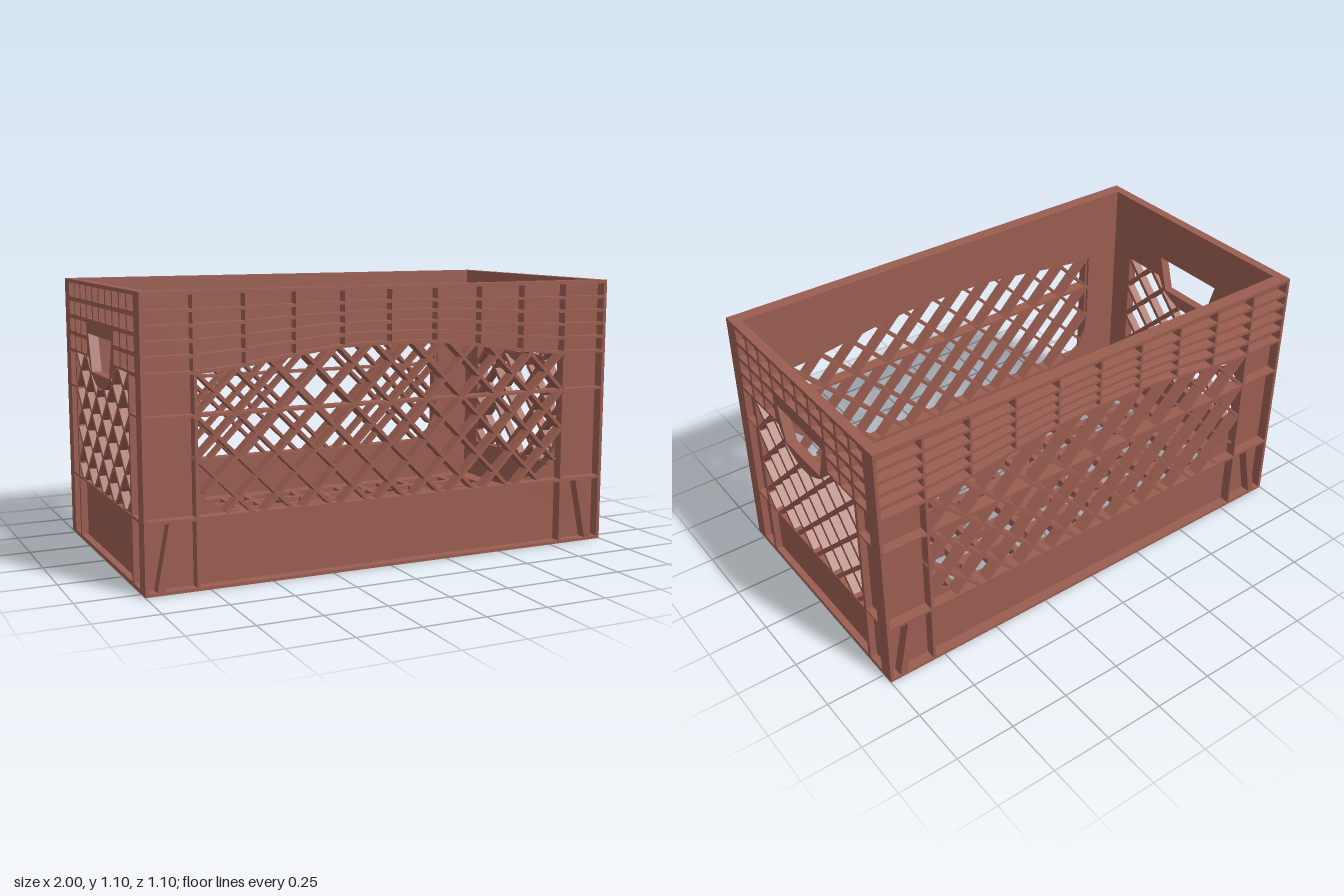
import * as THREE from 'three';

const plastic = new THREE.MeshStandardMaterial({ color: 0x9a5d50, side: THREE.DoubleSide });
plastic.name = 'terracotta plastic';

const shapeOf = pts => new THREE.Shape(pts.map(p => new THREE.Vector2(p[0], p[1])));
const pathOf = pts => new THREE.Path(pts.map(p => new THREE.Vector2(p[0], p[1])));
const rect = (u0, v0, u1, v1) => [[u0, v0], [u1, v0], [u1, v1], [u0, v1]];

// Extruded plate in a wall's own u, v plane, z running outward
function plate(parent, name, pts, z0, z1, holes = []) {
  const shape = shapeOf(pts);
  holes.forEach(h => shape.holes.push(pathOf(h)));
  const geo = new THREE.ExtrudeGeometry(shape, { depth: z1 - z0, bevelEnabled: false });
  geo.translate(0, 0, z0);
  const mesh = new THREE.Mesh(geo, plastic);
  mesh.name = name;
  parent.add(mesh);
  return mesh;
}

// Straight bar between two points
function bar(parent, name, a, b, width, z0, z1) {
  const len = Math.hypot(b[0] - a[0], b[1] - a[1]);
  const mesh = new THREE.Mesh(new THREE.BoxGeometry(len, width, z1 - z0), plastic);
  mesh.position.set((a[0] + b[0]) / 2, (a[1] + b[1]) / 2, (z0 + z1) / 2);
  mesh.rotation.z = Math.atan2(b[1] - a[1], b[0] - a[0]);
  mesh.name = name;
  parent.add(mesh);
}

function inside(pts, u, v) {
  let hit = false;
  for (let i = 0, j = pts.length - 1; i < pts.length; j = i++) {
    const [a, b] = pts[i], [c, d] = pts[j];
    if ((b > v) !== (d > v) && u < (c - a) * (v - b) / (d - b) + a) hit = !hit;
  }
  return hit;
}

// Diagonal struts, trimmed to the opening's outline
function lattice(parent, outline, pitch, cv, width, depth) {
  const step = 0.005;
  for (const dir of [1, -1]) {
    for (let k = -9; k <= 9; k++) {
      let start = null;
      for (let t = -0.5; t <= 0.5; t += step) {
        const p = [k * pitch + dir * t, cv + t];
        const isIn = inside(outline, p[0], p[1]);
        if (isIn && !start) start = p;
        if (!isIn && start) {
          bar(parent, 'latticeStrut', [start[0] - dir * step, start[1] - step], p, width, 0.001, depth - 0.002);
          start = null;
        }
      }
    }
  }
}

const SKIN = 0.012, RIB = 0.012, PITCH = 0.159;

// Ribs of the long walls arch upward toward the middle
const sideY = [1.09, 1.03, 0.975, 0.92, 0.865, 0.805];
const midY = [1.09, 1.04, 1.0, 0.96, 0.92, 0.88];
function rowY(i, u) {
  const s = THREE.MathUtils.smoothstep(0.85 - Math.abs(u), 0, 0.75);
  return THREE.MathUtils.lerp(sideY[i], midY[i], s);
}

function longWall() {
  const g = new THREE.Group(), D = 0.055;
  g.name = 'longWall';
  const top = [];
  for (let i = -8; i <= 8; i++) top.push([i / 10, rowY(5, i / 10) - 0.005]);
  const opening = [[0.8, 0.5], [0.785, 0.4], [0.75, 0.33], [0.69, 0.29], [0.61, 0.275],
    [-0.61, 0.275], [-0.69, 0.29], [-0.75, 0.33], [-0.785, 0.4], [-0.8, 0.5], ...top];
  plate(g, 'longPanel', rect(-1, 0, 1, 1.1), 0, SKIN, [opening]);
  lattice(g, opening, PITCH, 0.65, 0.013, D);

  // Arched horizontal ribs
  for (let i = 1; i <= 5; i++) {
    const lower = [], upper = [];
    for (let k = -10; k <= 10; k++) {
      lower.push([k / 10, rowY(i, k / 10) - RIB / 2]);
      upper.unshift([k / 10, rowY(i, k / 10) + RIB / 2]);
    }
    plate(g, 'archedRib', [...lower, ...upper], SKIN, D);
  }
  // Upright ribs above the opening
  for (let k = -4; k <= 4; k++) {
    const u = k * 0.2;
    bar(g, 'uprightRib', [u, rowY(5, u)], [u, 1.095], 0.01, SKIN, D - 0.001);
  }
  // Rims and ledges
  plate(g, 'topRim', rect(-1, 1.086, 1, 1.1), 0, D);
  plate(g, 'bottomRim', rect(-1, 0, 1, 0.012), 0, D);
  bar(g, 'lowerLedge', [-1, 0.27], [1, 0.27], RIB, SKIN, D);
  bar(g, 'middleLedge', [-1, 0.65], [1, 0.65], 0.01, 0, D);
  // Corner bays with slanted braces
  for (const s of [-1, 1]) {
    bar(g, 'bayRib', [s * 0.797, 0], [s * 0.797, 0.81], RIB, SKIN, D);
    plate(g, 'slantedBrace', [[s * 0.955, 0.01], [s * 0.925, 0.01], [s * 0.87, 0.27], [s * 0.905, 0.27]], SKIN, D - 0.001);
  }
  return g;
}

function endWall() {
  const g = new THREE.Group(), D = 0.04;
  g.name = 'endWall';
  const handle = [[0.13, 0.745], [0.175, 0.895], [-0.175, 0.895], [-0.13, 0.745]];
  const opening = [[-0.385, 0.272], [0.385, 0.272], [0.385, 0.8], [0.18, 0.8], [0.145, 0.74],
    [0.1, 0.715], [0.04, 0.69], [-0.04, 0.69], [-0.1, 0.715], [-0.145, 0.74], [-0.18, 0.8], [-0.385, 0.8]];
  plate(g, 'endPanel', rect(-0.5, 0, 0.5, 1.1), 0, SKIN, [handle, opening]);
  lattice(g, opening, PITCH, 0.57, 0.018, D);

  // Outer frame: one plate with pockets cut through it
  const pockets = [rect(-0.383, 0.016, 0.383, 0.264)];
  for (const s of [-1, 1]) {
    for (const [a, b] of [[0.016, 0.264], [0.274, 0.648], [0.656, 0.795]]) {
      const u = s * 0.443;
      pockets.push(rect(u - 0.042, a, u + 0.042, b));
    }
  }
  const rows = [[1.028, 1.085], [0.955, 1.01], [0.884, 0.938], [0.81, 0.867]];
  rows.forEach(([a, b], r) => {
    for (let k = 0; k < 10; k++) {
      const u = -0.437 + k * 0.0971;
      if (r > 1 && Math.abs(u) < 0.2) continue;
      pockets.push(rect(u - 0.041, a, u + 0.041, b));
    }
  });
  plate(g, 'endFrame', rect(-0.495, 0, 0.495, 1.1), SKIN, D, [handle, opening, ...pockets]);
  // Thin flanges that close the corners
  for (const s of [-1, 1]) {
    plate(g, 'cornerFlange', rect(s * 0.522 - 0.028, 0, s * 0.522 + 0.028, 1.1), D - 0.014, D);
  }
  return g;
}

function crateFloor() {
  const g = new THREE.Group();
  g.name = 'floor';
  const holes = [], P = 0.1127, h = 0.041, c = 0.125;
  for (let i = 0; i < 16; i++) {
    for (let j = 0; j < 8; j++) {
      const u = (i - 7.5) * P, v = (j - 3.5) * P;
      // Solid square in the middle
      if (Math.abs(u) < 0.1 && Math.abs(v) < 0.1) continue;
      holes.push(rect(u - h, v - h, u + h, v + h));
    }
  }
  const grid = plate(g, 'floorGrid', rect(-0.965, -0.498, 0.965, 0.498), 0, 0.04, holes);
  grid.rotation.x = -Math.PI / 2;
  grid.position.y = 0.06;
  const square = plate(g, 'floorCentre', rect(-c, -c, c, c), 0.002, 0.038);
  square.rotation.x = -Math.PI / 2;
  square.position.y = 0.06;

  // Sloping skirt beneath the floor
  const geo = new THREE.CylinderGeometry(0.97 * Math.SQRT2, Math.SQRT2, 0.06, 4, 1, true).toNonIndexed();
  geo.rotateY(Math.PI / 4);
  geo.scale(0.962, 1, 0.497);
  geo.translate(0, 0.03, 0);
  geo.computeVertexNormals();
  const skirt = new THREE.Mesh(geo, plastic);
  skirt.name = 'bottomSkirt';
  g.add(skirt);
  return g;
}

export function createModel() {
  const crate = new THREE.Group();
  crate.name = 'crate';
  for (const s of [1, -1]) {
    const long = longWall();
    long.position.z = s * 0.495;
    long.rotation.y = s > 0 ? 0 : Math.PI;
    const end = endWall();
    end.position.x = s * 0.96;
    end.rotation.y = s * Math.PI / 2;
    crate.add(long, end);
  }
  crate.add(crateFloor());
  return crate;
}
